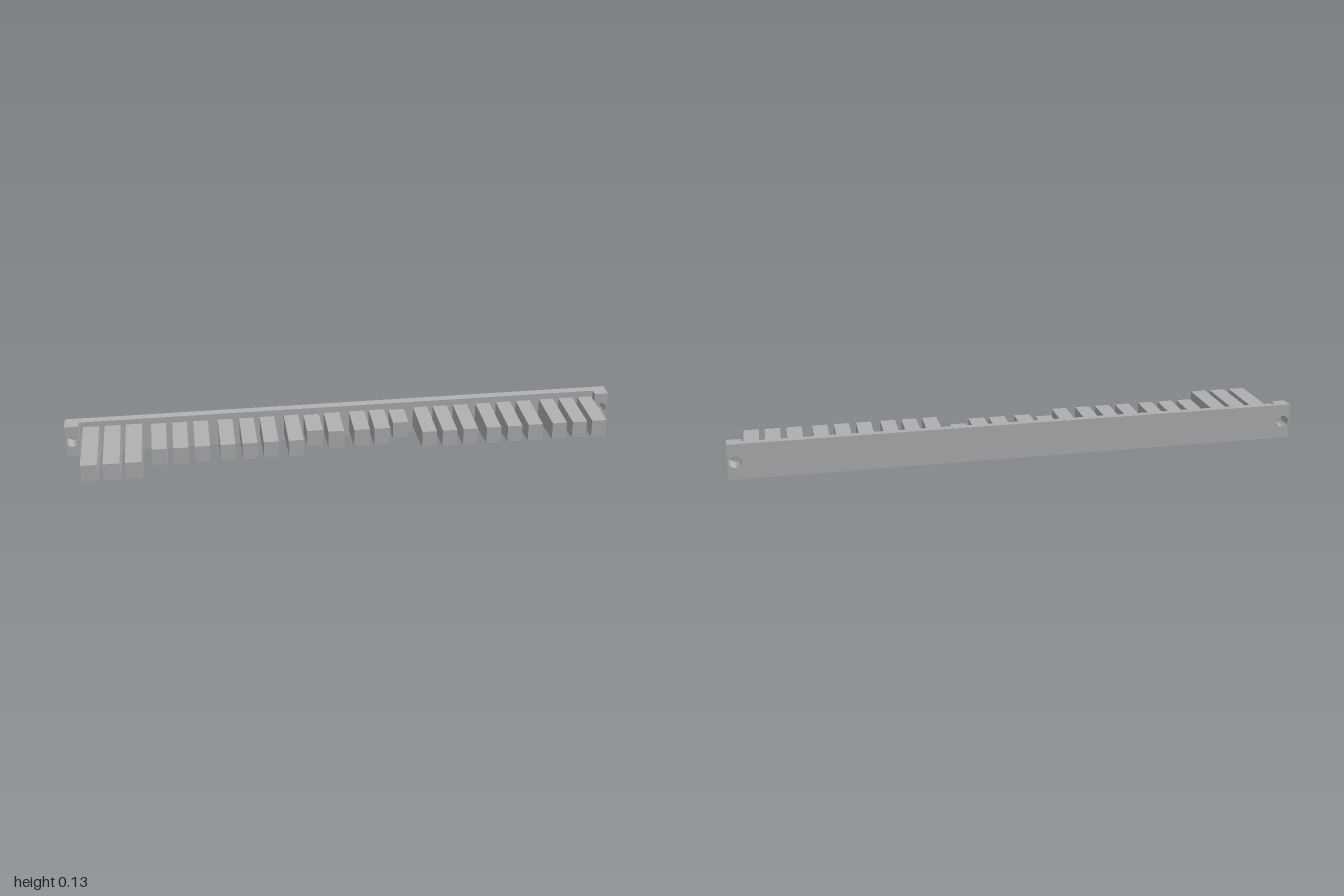
import * as THREE from 'three';
import { toCreasedNormals } from 'three/addons/utils/BufferGeometryUtils.js';

const MID_Y = 0.064;   // height of the centre line
const BACK = -0.149, FACE = -0.12, LUG = -0.093;

const plateHalf = (z) => 0.0635 - 0.07 * (z - BACK);

// Box from x0..x1 and z0..z1 whose half height runs from h0 (back) to h1 (front)
function taperedBox(x0, x1, z0, z1, h0, h1) {
  const geo = new THREE.BoxGeometry(x1 - x0, 2, z1 - z0);
  const p = geo.attributes.position;
  for (let i = 0; i < p.count; i++) {
    p.setY(i, p.getY(i) * (p.getZ(i) < 0 ? h0 : h1));
  }
  geo.translate((x0 + x1) / 2, MID_Y, (z0 + z1) / 2);
  geo.computeVertexNormals();
  return geo;
}

// Thick end block with a round screw hole, drafted top and bottom
function lugGeometry(x0, x1) {
  const h = plateHalf(BACK), cx = (x0 + x1) / 2;
  const shape = new THREE.Shape([
    new THREE.Vector2(x0, -h), new THREE.Vector2(x1, -h),
    new THREE.Vector2(x1, h), new THREE.Vector2(x0, h),
  ]);
  const hole = new THREE.Path();
  hole.absarc(cx, 0, 0.021, 0, Math.PI * 2, true);
  shape.holes.push(hole);
  const geo = new THREE.ExtrudeGeometry(shape, { depth: LUG - BACK, bevelEnabled: false, curveSegments: 12 });
  const p = geo.attributes.position;
  for (let i = 0; i < p.count; i++) {
    const y = p.getY(i);
    if (Math.abs(y) > 0.04) p.setY(i, Math.sign(y) * plateHalf(BACK + p.getZ(i)));
  }
  geo.translate(0, MID_Y, BACK);
  return toCreasedNormals(geo, 0.7);
}

export function createModel() {
  const group = new THREE.Group();
  const grey = new THREE.MeshStandardMaterial({ color: 0xb0b0b0 });
  grey.name = 'grey';
  const add = (name, geo) => {
    const mesh = new THREE.Mesh(geo, grey);
    mesh.name = name;
    group.add(mesh);
  };

  // Back bar and its two screw blocks
  add('backBar', taperedBox(-0.95, 0.95, BACK, FACE, plateHalf(BACK), plateHalf(FACE)));
  add('leftScrewBlock', lugGeometry(0.95, 1));
  add('rightScrewBlock', lugGeometry(-1, -0.95));

  // Row of teeth: [width, tip z, tip half height, centres along x]
  const runs = [
    [0.057, 0.149, 0.031, [-0.908, -0.832, -0.757]],
    [0.053, 0.065, 0.031, [-0.669, -0.594, -0.519, -0.43, -0.353, -0.278, -0.19]],
    [0.057, 0.0, 0.031, [-0.116]],
    [0.057, 0.02, 0.033, [-0.041, 0.052, 0.126]],
    [0.057, -0.02, 0.031, [0.2]],
    [0.053, 0.065, 0.031, [0.29, 0.364, 0.44, 0.526, 0.604, 0.68, 0.77, 0.845, 0.918]],
  ];
  let n = 1;
  for (const [w, tip, half, centres] of runs) {
    const root = half + 0.041 * (tip - FACE);
    for (const x of centres) {
      add('tooth' + n++, taperedBox(x - w / 2, x + w / 2, FACE, tip, root, half));
    }
  }
  return group;
}
